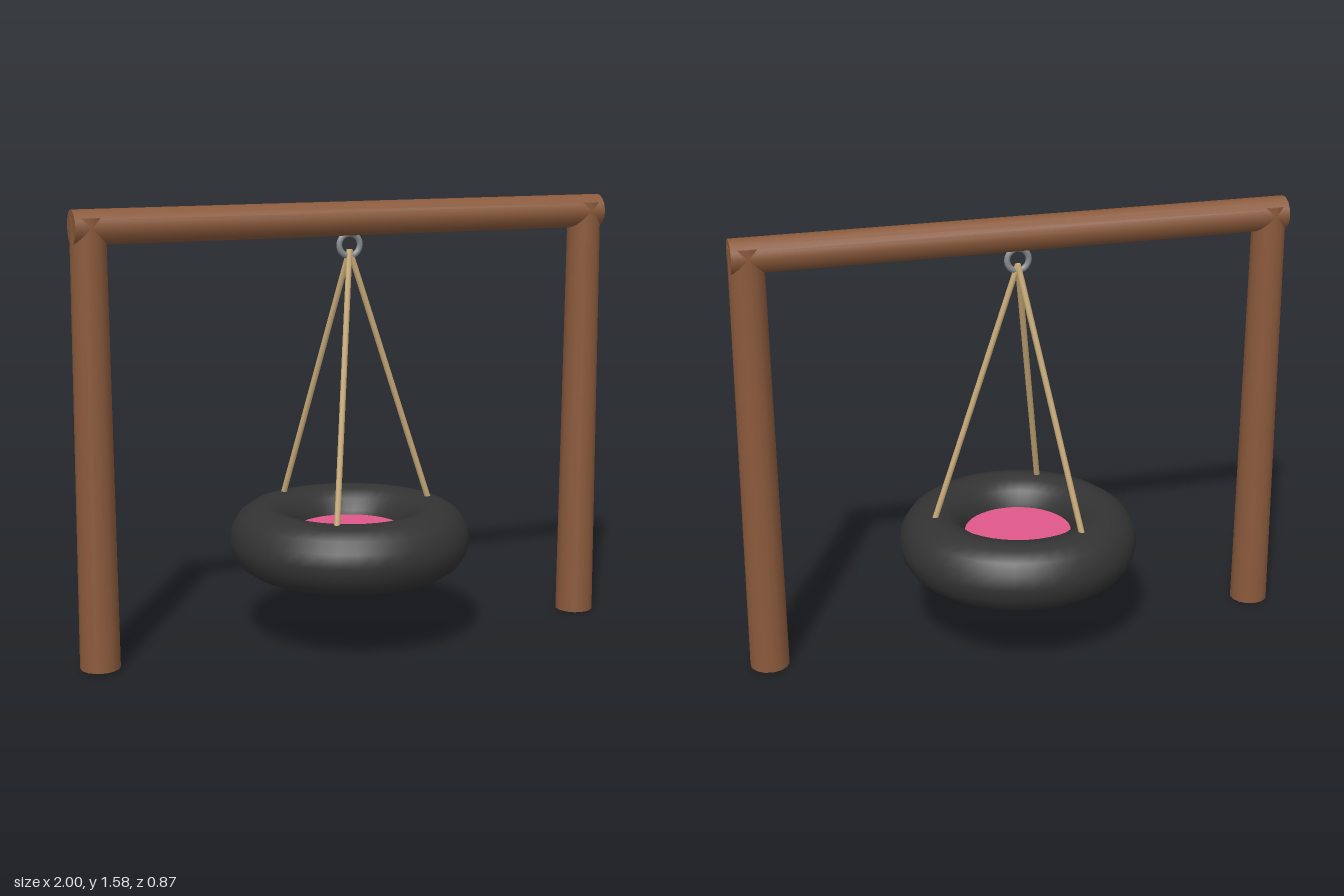
import * as THREE from 'three';

const mat = (color) => new THREE.MeshStandardMaterial({ color });

export function createModel() {
  const model = new THREE.Group();
  model.name = 'tyreSwing';
  const wood = mat(0x8b5a3c), rope = mat(0xc8aa78), rubber = mat(0x333333);
  const steel = mat(0x888c90), pink = mat(0xe0588a);

  const add = (name, geometry, material, x = 0, y = 0, z = 0) => {
    const mesh = new THREE.Mesh(geometry, material);
    mesh.name = name;
    mesh.position.set(x, y, z);
    model.add(mesh);
    return mesh;
  };

  // Frame: two slightly tapered posts under a round beam
  const postHeight = 1.553;
  for (const side of [-1, 1]) {
    add(side > 0 ? 'leftPost' : 'rightPost',
      new THREE.CylinderGeometry(0.06, 0.07, postHeight, 14), wood, side * 0.93, postHeight / 2);
  }
  add('beam', new THREE.CylinderGeometry(0.06, 0.06, 1.97, 14), wood, 0, 1.52).rotation.z = Math.PI / 2;

  // Hanging ring under the beam
  add('hangingRing', new THREE.TorusGeometry(0.039, 0.011, 8, 20), steel, 0, 1.428);

  // Three ropes from the ring to the tyre
  const top = new THREE.Vector3(0, 1.41, 0);
  const up = new THREE.Vector3(0, 1, 0);
  for (let i = 0; i < 3; i++) {
    const a = (i * Math.PI * 2) / 3;
    const foot = new THREE.Vector3(Math.cos(a) * 0.315, 0.475, Math.sin(a) * 0.315);
    const span = top.clone().sub(foot);
    const mesh = add(`rope${i + 1}`, new THREE.CylinderGeometry(0.011, 0.011, span.length(), 8), rope);
    mesh.position.copy(foot).addScaledVector(span, 0.5);
    mesh.quaternion.setFromUnitVectors(up, span.normalize());
  }

  // Tyre with a round seat filling its hole
  add('tyre', new THREE.TorusGeometry(0.31, 0.123, 16, 40), rubber, 0, 0.375).rotation.x = Math.PI / 2;
  add('seat', new THREE.CylinderGeometry(0.2, 0.2, 0.04, 32), pink, 0, 0.387);

  return model;
}
